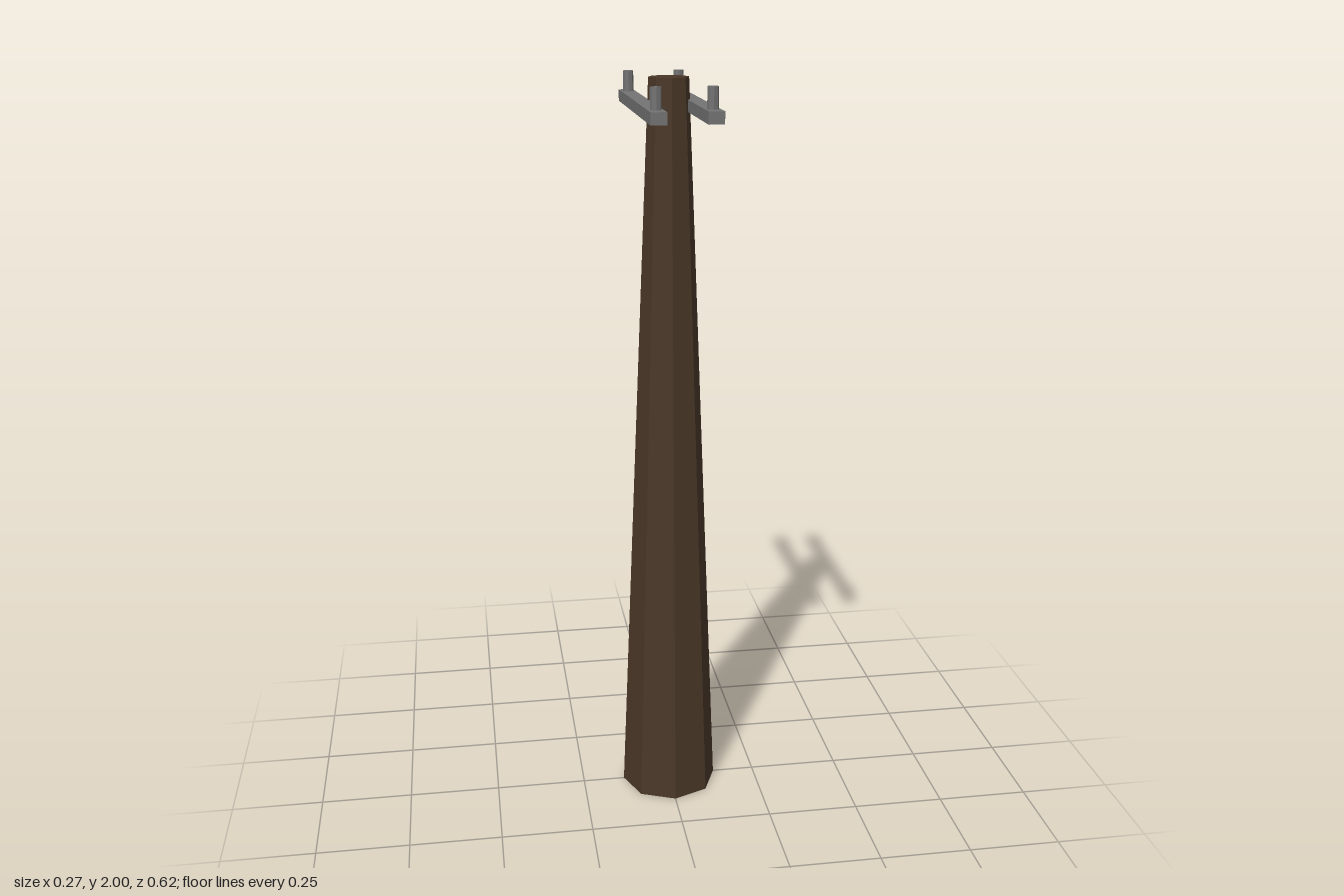
import * as THREE from 'three';

export function createModel() {
  const model = new THREE.Group();
  const wood = new THREE.MeshStandardMaterial({ color: 0x4a3728, flatShading: true });
  const metal = new THREE.MeshStandardMaterial({ color: 0x737373, flatShading: true });

  const add = (name, geometry, material, x, y, z) => {
    const mesh = new THREE.Mesh(geometry, material);
    mesh.name = name;
    mesh.position.set(x, y, z);
    model.add(mesh);
  };

  // Tapered octagonal pole
  add('pole', new THREE.CylinderGeometry(0.052, 0.133, 2, 8), wood, 0, 1, 0);

  // Two crossarms either side of the pole, each with a peg near both ends
  const armGeometry = new THREE.BoxGeometry(0.039, 0.03, 0.624);
  const pegGeometry = new THREE.CylinderGeometry(0.014, 0.014, 0.06, 8);
  for (const [side, x] of [['right', -0.07], ['left', 0.066]]) {
    add(`${side}Crossarm`, armGeometry, metal, x, 1.929, 0);
    for (const [end, z] of [['Front', 0.26], ['Back', -0.26]]) {
      add(`${side}${end}Peg`, pegGeometry, metal, x, 1.967, z);
    }
  }
  return model;
}
